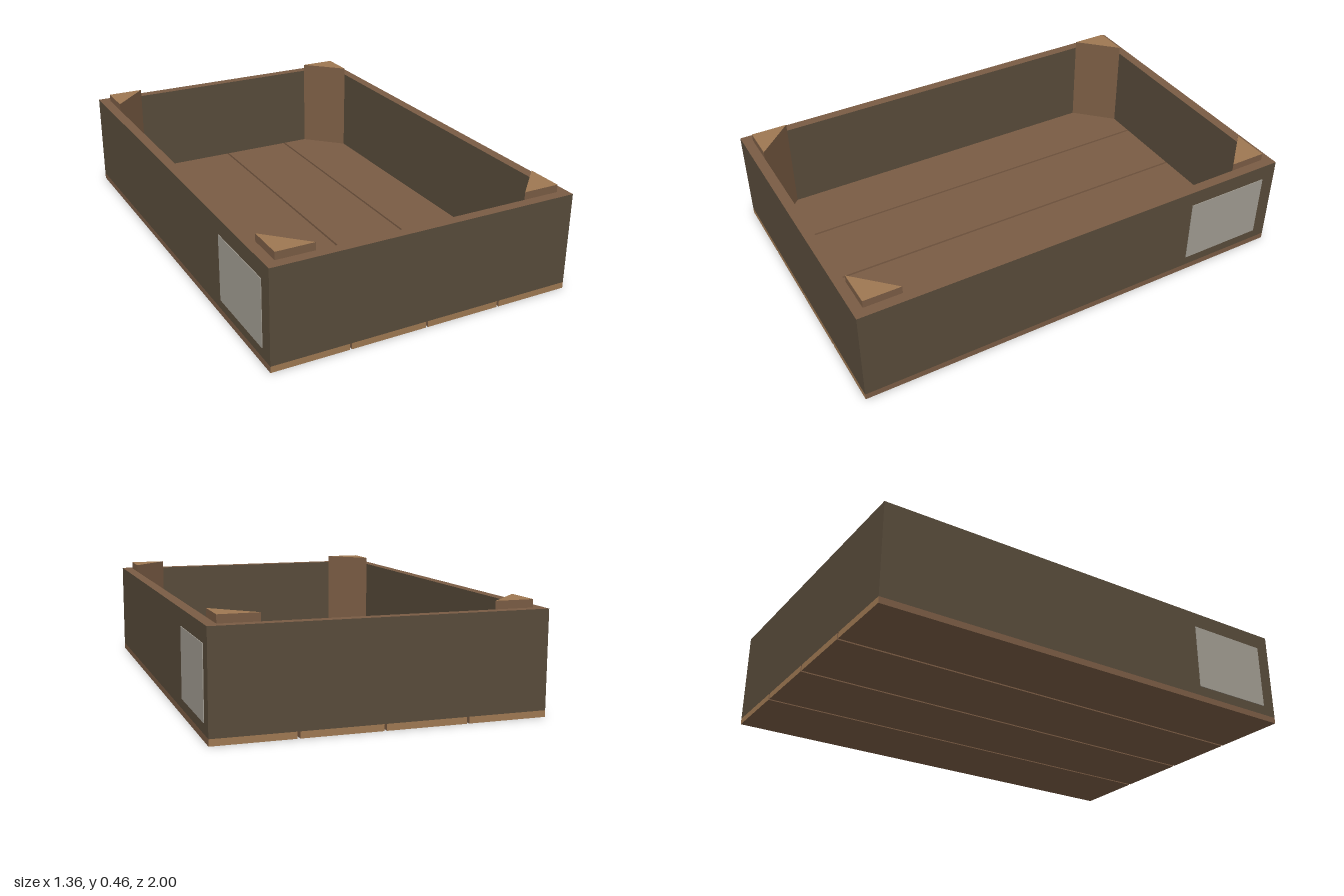
import * as THREE from 'three';

const W = 0.675, L = 1;            // outer half width and half length
const WALL = 0.045;                // wall thickness
const FLOOR = 0.027, RIM = 0.43, POST_TOP = 0.463;
const GAP = 0.01;                  // gap between floor planks

const mat = (name, color) => {
  const m = new THREE.MeshStandardMaterial({ color });
  m.name = name;
  return m;
};

// Stand a flat outline up as a prism between two heights
function prism(shape, y0, y1) {
  const g = new THREE.ExtrudeGeometry(shape, { depth: y1 - y0, bevelEnabled: false });
  return g.rotateX(-Math.PI / 2).translate(0, y0, 0);
}

const rectPoints = (x, y) => [[-x, -y], [x, -y], [x, y], [-x, y]].map(p => new THREE.Vector2(...p));

export function createModel() {
  const wood = mat('brown wood', 0x7a5c44);
  const endGrain = mat('light end grain', 0x9e7852);
  const paint = mat('dark stained wood', 0x584b3a);
  const paper = mat('pale label', 0xa09b91);

  const crate = new THREE.Group();
  crate.name = 'crate';
  const add = (name, geometry, material) => {
    const mesh = new THREE.Mesh(geometry, material);
    mesh.name = name;
    crate.add(mesh);
    return mesh;
  };

  // Floor planks with lighter cut ends
  const plankW = (2 * W - 3 * GAP) / 4;
  for (let i = 0; i < 4; i++) {
    const plank = add('floorPlank', new THREE.BoxGeometry(plankW, FLOOR, 2 * L),
      [wood, wood, wood, wood, endGrain, endGrain]);
    plank.position.set(-W + plankW / 2 + i * (plankW + GAP), FLOOR / 2, 0);
  }

  // Four walls as one frame: bare edges, stained faces
  const frame = new THREE.Shape(rectPoints(W, L));
  frame.holes.push(new THREE.Path(rectPoints(W - WALL, L - WALL).reverse()));
  add('walls', prism(frame, FLOOR, RIM), [wood, paint]);

  // Triangular corner posts standing proud of the rim
  const px = W - WALL, pz = L - WALL, leg = 0.163;
  for (const sx of [-1, 1]) for (const sz of [-1, 1]) {
    const corner = new THREE.Shape([
      new THREE.Vector2(sx * px, sz * pz),
      new THREE.Vector2(sx * (px - leg), sz * pz),
      new THREE.Vector2(sx * px, sz * (pz - leg)),
    ]);
    add('cornerPost', prism(corner, FLOOR, POST_TOP), [endGrain, wood]);
  }

  // A label on each long side, at opposite ends
  for (const s of [-1, 1]) {
    const label = add('label', new THREE.BoxGeometry(0.004, 0.29, 0.387), paper);
    label.position.set(s * (W + 0.001), 0.215, -s * 0.742);
  }

  return crate;
}
